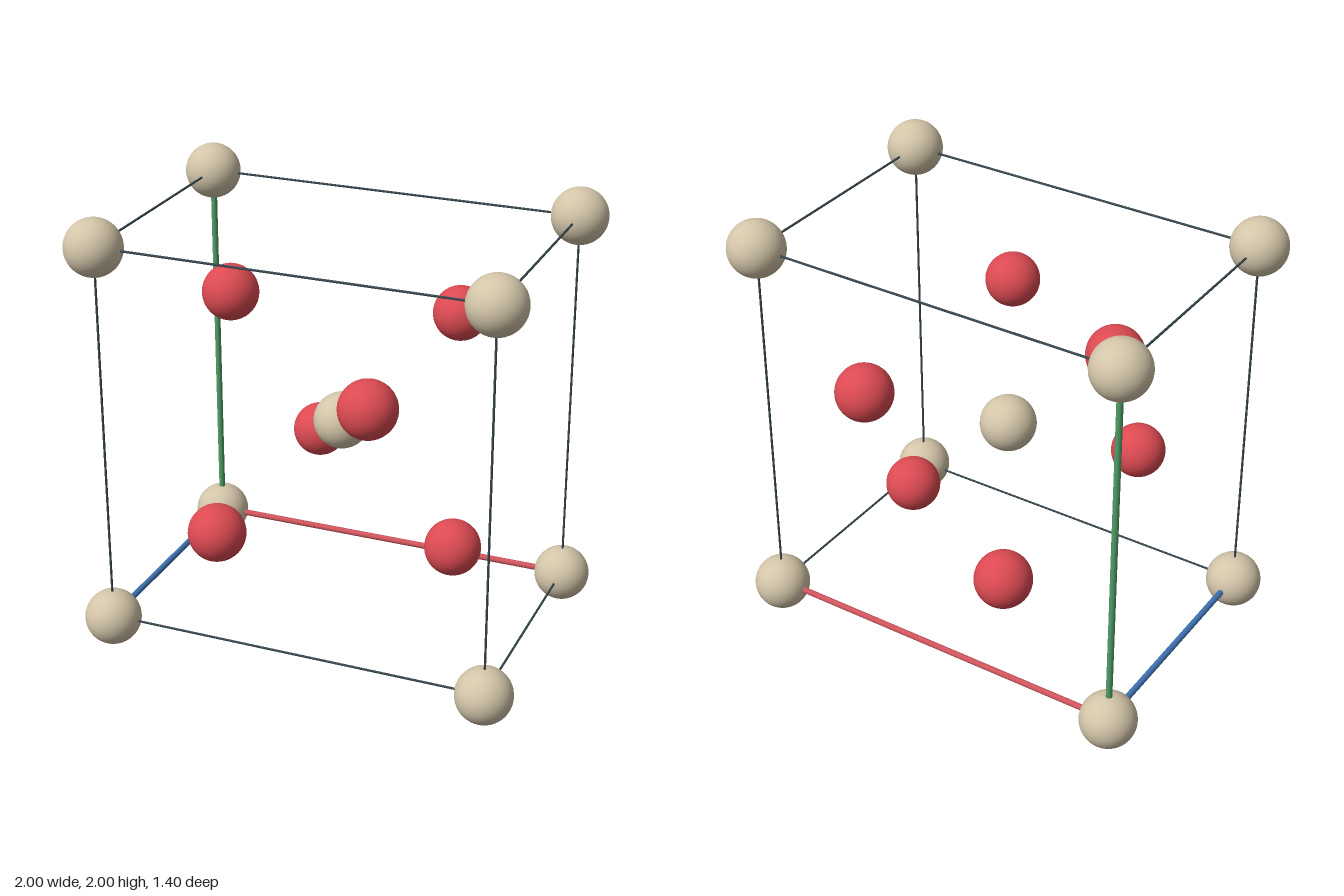
import * as THREE from 'three';

const mat = (name, color) => {
  const m = new THREE.MeshStandardMaterial({ color });
  m.name = name;
  return m;
};

export function createModel() {
  const group = new THREE.Group();
  const tan = mat('tan', 0xd3c5a9);
  const red = mat('red', 0xdc4a52);
  const slate = mat('dark slate', 0x37474f);
  const axisRed = mat('axis red', 0xd0555d);
  const axisGreen = mat('axis green', 0x4f9f68);
  const axisBlue = mat('axis blue', 0x3f74b5);

  // Half sizes of the cell and the height of its centre
  const X = 0.874, Y = 0.874, Z = 0.574, R = 0.126;
  const cell = new THREE.Group();
  cell.position.y = 1;
  group.add(cell);

  const ballGeometry = new THREE.SphereGeometry(R, 40, 28);
  const ball = (name, material, x, y, z) => {
    const mesh = new THREE.Mesh(ballGeometry, material);
    mesh.name = name;
    mesh.position.set(x, y, z);
    cell.add(mesh);
  };

  const up = new THREE.Vector3(0, 1, 0);
  const rod = (name, material, radius, a, b) => {
    const dir = b.clone().sub(a);
    const mesh = new THREE.Mesh(new THREE.CylinderGeometry(radius, radius, dir.length(), 12), material);
    mesh.name = name;
    mesh.position.copy(a).add(b).multiplyScalar(0.5);
    mesh.quaternion.setFromUnitVectors(up, dir.normalize());
    cell.add(mesh);
  };

  // Tan balls at the eight corners and the centre
  for (const x of [-X, X])
    for (const y of [-Y, Y])
      for (const z of [-Z, Z]) ball('cornerBall', tan, x, y, z);
  ball('centreBall', tan, 0, 0, 0);

  // Red balls: one diagonal pair on the front and back faces, the other pair in the middle plane
  for (const s of [-1, 1]) {
    for (const z of [-Z, Z]) ball('faceBall', red, s * 0.345, s * 0.347, z);
    ball('innerBall', red, s * 0.527, -s * 0.527, 0);
  }

  // Twelve cell edges; the three from the back lower right corner are thick coloured axes
  const half = [X, Y, Z];
  const axisMaterials = [axisRed, axisGreen, axisBlue];
  const axisNames = ['widthAxis', 'heightAxis', 'depthAxis'];
  for (let axis = 0; axis < 3; axis++) {
    const u = (axis + 1) % 3, v = (axis + 2) % 3;
    for (const su of [-1, 1])
      for (const sv of [-1, 1]) {
        const a = new THREE.Vector3();
        a.setComponent(axis, -half[axis]);
        a.setComponent(u, su * half[u]);
        a.setComponent(v, sv * half[v]);
        const b = a.clone().setComponent(axis, half[axis]);
        if (su < 0 && sv < 0) rod(axisNames[axis], axisMaterials[axis], 0.014, a, b);
        else rod('cellEdge', slate, 0.005, a, b);
      }
  }
  return group;
}
